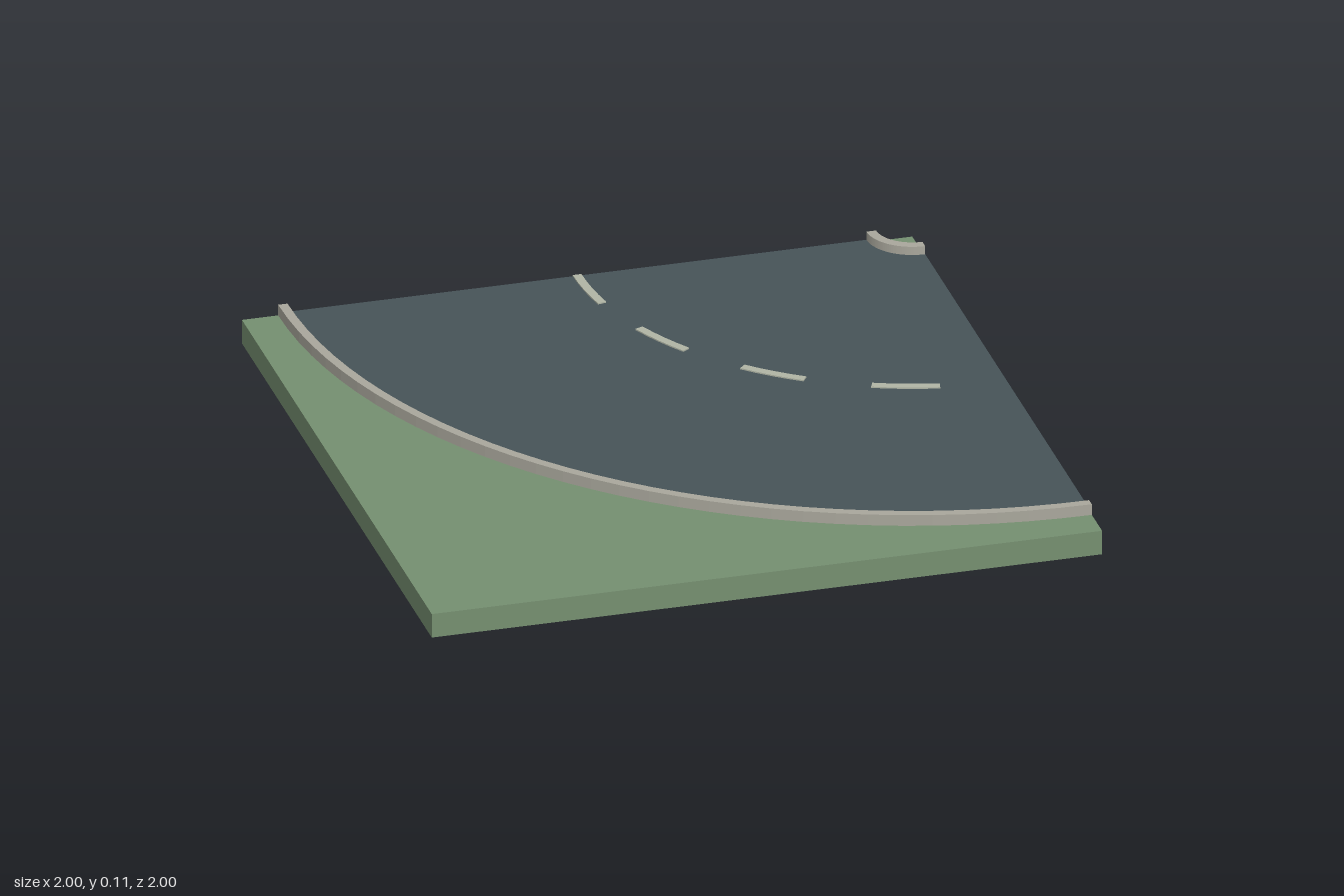
import * as THREE from 'three';

const BASE_H = 0.075;

export function createModel() {
  const material = (name, color) => {
    const m = new THREE.MeshStandardMaterial({ color });
    m.name = name;
    return m;
  };
  const grass = material('grass green', 0x758f70);
  const asphalt = material('asphalt grey', 0x465358);
  const kerbStone = material('kerb stone', 0xa9a79c);
  const paint = material('lane paint', 0xb0b5a5);

  const group = new THREE.Group();
  group.name = 'roadCornerTile';

  const add = (name, geometry, mat) => {
    const mesh = new THREE.Mesh(geometry, mat);
    mesh.name = name;
    group.add(mesh);
    return mesh;
  };

  // Flat slab following an arc around the back left corner; angles in degrees from the back edge
  const arcSlab = (name, mat, inner, outer, bottom, top, from = 0, to = 90, segments = 32) => {
    const a = Math.PI + THREE.MathUtils.degToRad(from);
    const b = Math.PI + THREE.MathUtils.degToRad(to);
    const shape = new THREE.Shape();
    shape.absarc(0, 0, outer, a, b, false);
    shape.absarc(0, 0, inner, b, a, true);
    shape.closePath();
    const geometry = new THREE.ExtrudeGeometry(shape, {
      depth: top - bottom, bevelEnabled: false, curveSegments: segments / 2,
    });
    geometry.rotateX(-Math.PI / 2);
    geometry.translate(1, bottom, -1);
    return add(name, geometry, mat);
  };

  // Grass base
  const base = new THREE.BoxGeometry(2, BASE_H, 2);
  base.translate(0, BASE_H / 2, 0);
  add('grassBase', base, grass);

  // Curved road with a kerb on each edge
  arcSlab('road', asphalt, 0.135, 1.866, BASE_H, 0.083);
  arcSlab('outerKerb', kerbStone, 1.864, 1.892, BASE_H - 0.005, 0.109);
  arcSlab('innerKerb', kerbStone, 0.108, 0.137, BASE_H - 0.005, 0.109);

  // Dashed centre line
  for (let i = 0; i < 4; i++) {
    arcSlab('laneDash' + (i + 1), paint, 0.987, 1.013, 0.082, 0.087, i * 22.5, i * 22.5 + 11.25, 4);
  }

  return group;
}
